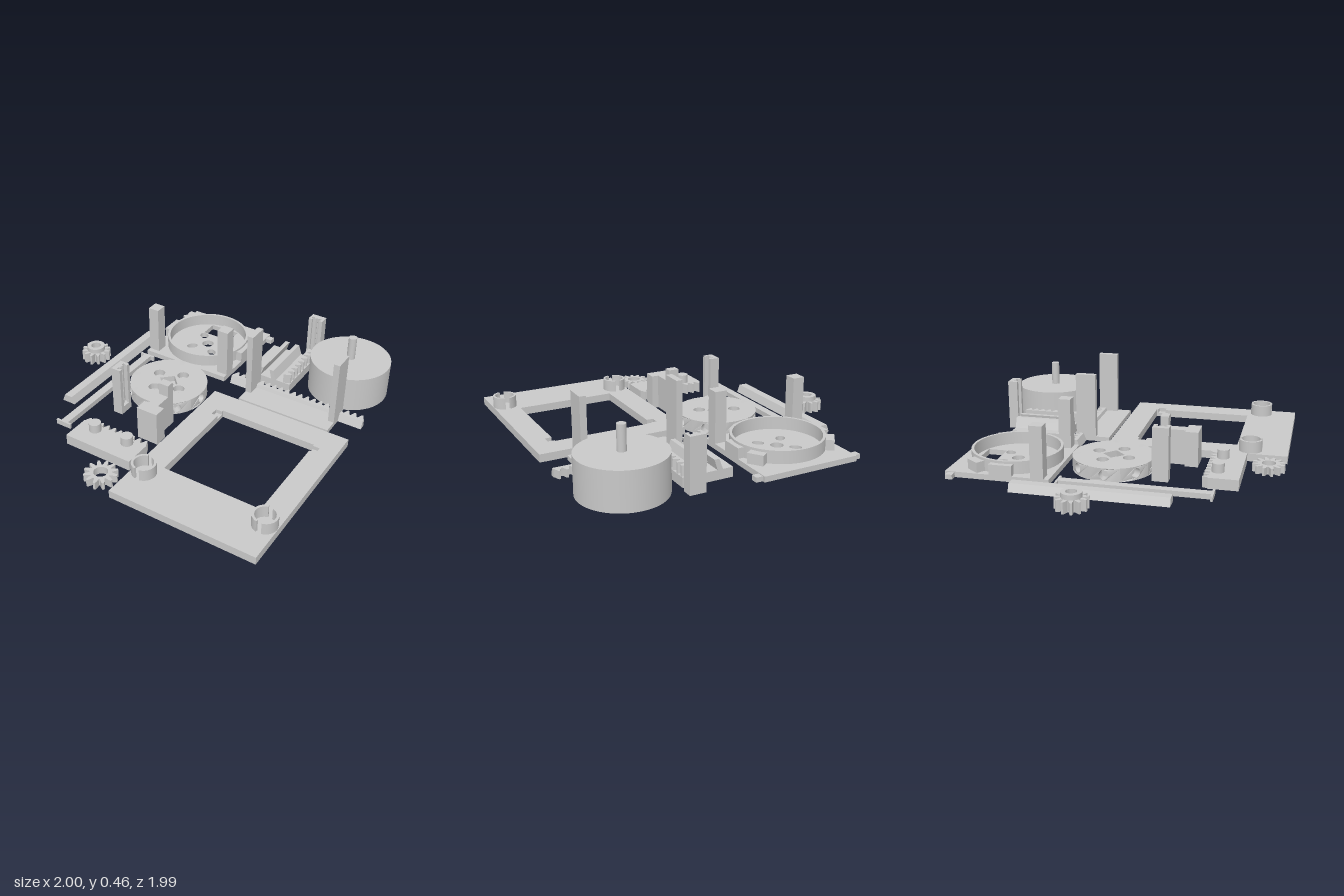
import * as THREE from 'three';
import { toCreasedNormals } from 'three/addons/utils/BufferGeometryUtils.js';

export function createModel() {
  const model = new THREE.Group();
  const grey = new THREE.MeshStandardMaterial({ color: 0xc8c8c8 });
  grey.name = 'plasticGrey';

  // ---- helpers: outlines are [x, z] points on the ground, raised from y0 to y1 ----
  const group = (name) => {
    const g = new THREE.Group();
    g.name = name;
    model.add(g);
    return g;
  };
  const add = (parent, name, geo) => {
    const mesh = new THREE.Mesh(geo, grey);
    mesh.name = name;
    parent.add(mesh);
    return mesh;
  };
  // always anticlockwise, so that outer and hole walls face the right way
  const vec = (pts) => {
    const v = pts.map(([x, z]) => new THREE.Vector2(x, -z));
    return THREE.ShapeUtils.isClockWise(v) ? v.reverse() : v;
  };
  const plate = (parent, name, outline, y0, y1, holes = []) => {
    const shape = new THREE.Shape(vec(outline));
    holes.forEach((h) => shape.holes.push(new THREE.Path(vec(h).reverse())));
    const geo = new THREE.ExtrudeGeometry(shape, { depth: y1 - y0, bevelEnabled: false });
    geo.rotateX(-Math.PI / 2).translate(0, y0, 0);
    return add(parent, name, toCreasedNormals(geo, 0.5));
  };
  const rect = (x0, x1, z0, z1) => [[x0, z0], [x1, z0], [x1, z1], [x0, z1]];
  const box = (parent, name, x0, x1, y0, y1, z0, z1) => {
    const geo = new THREE.BoxGeometry(x1 - x0, y1 - y0, z1 - z0);
    return add(parent, name, geo.translate((x0 + x1) / 2, (y0 + y1) / 2, (z0 + z1) / 2));
  };
  const arc = (cx, cz, r, a0, a1, n) => Array.from({ length: n + 1 }, (_, i) => {
    const a = a0 + ((a1 - a0) * i) / n;
    return [cx + r * Math.cos(a), cz + r * Math.sin(a)];
  });
  const circle = (cx, cz, r, n = 32) => arc(cx, cz, r, 0, Math.PI * 2, n).slice(0, n);
  const cylinder = (parent, name, x, z, r, y0, y1, n = 32) =>
    add(parent, name, new THREE.CylinderGeometry(r, r, y1 - y0, n).translate(x, (y0 + y1) / 2, z));
  // bar with cross-section in x, y running along z
  const barAlongZ = (parent, name, section, z0, z1) => {
    const shape = new THREE.Shape(section.map(([x, y]) => new THREE.Vector2(x, y)));
    const geo = new THREE.ExtrudeGeometry(shape, { depth: z1 - z0, bevelEnabled: false });
    return add(parent, name, geo.translate(0, 0, z0));
  };
  // tooth line from a to b; rise is added at every tooth tip
  const teeth = (a, b, count, rise) => {
    const pts = [];
    for (let i = 0; i < count; i++) {
      for (const [f, h] of [[0.1, 0], [0.24, 0.5], [0.38, 1], [0.62, 1], [0.76, 0.5], [0.9, 0]]) {
        pts.push([a + ((b - a) * (i + f)) / count, h * rise]);
      }
    }
    return pts;
  };

  // ---- square frame with corner notches and two split sockets ----
  const frame = group('openFrame');
  const frameEdge = rect(0.05, 1, -0.155, 0.995);
  plate(frame, 'frameBottom', frameEdge, 0, 0.025, [rect(0.205, 0.845, 0.003, 0.665)]);
  plate(frame, 'frameTop', frameEdge, 0.025, 0.05, [[
    [0.205, 0.003], [0.845, 0.003], [0.845, 0.015], [0.888, 0.015], [0.888, 0.068], [0.845, 0.068],
    [0.845, 0.665], [0.205, 0.665], [0.205, 0.068], [0.162, 0.068], [0.162, 0.015], [0.205, 0.015]]]);
  for (const x of [0.128, 0.922]) {
    for (const start of [-Math.PI / 2, Math.PI / 2]) {
      const a0 = start + 0.22, a1 = start + Math.PI - 0.22;
      plate(frame, 'splitSocket',
        [...arc(x, 0.758, 0.075, a0, a1, 16), ...arc(x, 0.758, 0.06, a1, a0, 16)], 0.05, 0.125);
    }
  }

  // ---- base plate with round tray, side ears, wall tabs and posts ----
  const base = group('trayBase');
  const cx = -0.309, cz = -0.645;
  const slot = (x, z, turn) => circle(0, 0, 1, 20).map(([u, v]) => {
    const p = u * 0.038, q = v * 0.028, c = Math.SQRT1_2;
    return [x + (p - q * turn) * c, z + (p * turn + q) * c];
  });
  const trayHoles = [circle(cx, cz, 0.04), rect(-0.413, -0.203, -0.882, -0.762)];
  for (const sx of [-1, 1]) {
    for (const sz of [-1, 1]) trayHoles.push(slot(cx + sx * 0.08, cz + 0.002 + sz * 0.081, sx * sz));
  }
  plate(base, 'basePlate', rect(-0.625, 0.007, -0.995, -0.342), 0, 0.035, trayHoles);
  plate(base, 'trayWall', circle(cx, cz, 0.285, 64), 0.035, 0.115, [circle(cx, cz, 0.268, 64)]);
  for (const s of [-1, 1]) {
    const span = (a, b) => [cx + s * a, cx + s * b].sort((p, q) => p - q);
    box(base, 'ear', ...span(0.316, 0.358), 0, 0.03, -0.975, -0.932);
    box(base, 'wallTab', ...span(0.275, 0.316), 0.035, 0.1, -0.715, -0.572);
    box(base, 'post', ...span(0.24, 0.316), 0, 0.36, -0.455, -0.375);
    const tab = add(base, 'angledTab', new THREE.BoxGeometry(0.065, 0.065, 0.1));
    tab.position.set(cx + s * 0.25, 0.067, -0.815);
    tab.rotation.y = s * 0.62;
  }

  // ---- motor ----
  const motor = group('motor');
  cylinder(motor, 'motorBody', 0.737, -0.732, 0.262, 0, 0.235, 64);
  cylinder(motor, 'motorShaft', 0.737, -0.732, 0.027, 0.235, 0.39);

  // ---- long rack with low plate and two tall posts ----
  const longRack = group('longRack');
  plate(longRack, 'rackTeeth', [...teeth(0.05, 1, 20, -0.035).map(([x, h]) => [x, -0.392 + h]),
    [1, -0.392], [1, -0.37], [0.05, -0.37], [0.05, -0.392]], 0, 0.05);
  const slope = new THREE.Shape(vec([[0.37, -0.05], [0.37, 0], [0.35, 0]]));
  const slopeGeo = new THREE.ExtrudeGeometry(slope, { depth: 0.95, bevelEnabled: false });
  add(longRack, 'rackSlope', slopeGeo.rotateY(Math.PI / 2).translate(0.05, 0, 0));
  box(longRack, 'rackPlate', 0.208, 0.843, 0, 0.03, -0.37, -0.193);
  for (const x of [0.206, 0.803]) box(longRack, 'tallPost', x, x + 0.04, 0, 0.455, -0.418, -0.285);

  // ---- guide block with leaning walls and side rack ----
  const guide = group('guideBlock');
  const z0 = -0.845, z1 = -0.467;
  box(guide, 'guideBase', 0.118, 0.435, 0, 0.06, z0, z1);
  barAlongZ(guide, 'leftGuide', [[0.183, 0.06], [0.218, 0.06], [0.238, 0.125], [0.208, 0.125]], z0, z1);
  barAlongZ(guide, 'rightGuide', [[0.298, 0.06], [0.333, 0.06], [0.311, 0.125], [0.283, 0.125]], z0, z1);
  plate(guide, 'sideRack', [[0.387, z0], ...teeth(z0, z1, 8, 0.033).map(([z, h]) => [0.4 + h, z]),
    [0.387, z1]], 0.06, 0.125);

  // ---- small rack with two pegs ----
  const smallRack = group('smallRack');
  plate(smallRack, 'smallRackPlate', [...teeth(-0.46, 0.012, 10, -0.035).map(([x, h]) => [x, 0.568 + h]),
    [0.012, 0.568], [0.012, 0.748], [-0.46, 0.748], [-0.46, 0.568]], 0, 0.068);
  for (const x of [-0.342, -0.102]) cylinder(smallRack, 'peg', x, 0.612, 0.038, 0.068, 0.125);

  // ---- pinion gears ----
  const gearOutline = (x, z, root, tip, n) => teeth(0, Math.PI * 2, n, tip - root)
    .map(([a, h]) => [x + (root + h) * Math.cos(a), z + (root + h) * Math.sin(a)]);
  const hubGear = group('hubGear');
  plate(hubGear, 'gearTeeth', gearOutline(-0.905, -0.117, 0.062, 0.098, 12), 0, 0.07,
    [circle(-0.905, -0.117, 0.033)]);
  plate(hubGear, 'gearHub', circle(-0.905, -0.117, 0.061), 0.07, 0.1, [circle(-0.905, -0.117, 0.033)]);
  plate(group('flatGear'), 'gearTeeth', gearOutline(-0.087, 0.89, 0.065, 0.102, 12), 0, 0.05,
    [circle(-0.087, 0.89, 0.043)]);

  // ---- turning disc with counterbored holes, square socket and bored rim ----
  const disc = group('turningDisc');
  const dx = -0.242, dz = -0.045, core = 0.205;
  const spots = [[-0.347, -0.09], [-0.197, -0.15], [-0.137, -0.004], [-0.285, 0.06]];
  plate(disc, 'discLower', circle(dx, dz, core, 64), 0, 0.045,
    [circle(dx, dz, 0.037), ...spots.map(([x, z]) => circle(x, z, 0.021))]);
  plate(disc, 'discUpper', circle(dx, dz, core, 64), 0.045, 0.085,
    [circle(dx, dz, 0.069, 4), ...spots.map(([x, z]) => circle(x, z, 0.038))]);
  for (let i = 0; i < 8; i++) {
    // flat strip with one bore, wrapped round an eighth of the rim
    const edge = (y) => Array.from({ length: 9 }, (_, k) => new THREE.Vector2(((k - 4) * Math.PI) / 32, y));
    const strip = new THREE.Shape([...edge(0), ...edge(0.085).reverse()]);
    strip.holes.push(new THREE.Path(circle(0, 0, 0.03, 20)
      .map(([u, v]) => new THREE.Vector2(u / 0.255, 0.045 + v)).reverse()));
    const geo = new THREE.ExtrudeGeometry(strip, { depth: 0.05, bevelEnabled: false });
    const p = geo.attributes.position;
    for (let k = 0; k < p.count; k++) {
      const a = p.getX(k) + (i * Math.PI) / 4, r = core + p.getZ(k);
      p.setXYZ(k, dx + r * Math.sin(a), p.getY(k), dz + r * Math.cos(a));
    }
    add(disc, 'boredRim', toCreasedNormals(geo, 0.5));
  }

  // ---- dovetail bar and flanged rod ----
  barAlongZ(group('dovetailBar'), 'barBody',
    [[-0.775, 0], [-0.68, 0], [-0.7, 0.05], [-0.755, 0.05]], -0.54, 0.407);
  const rod = group('flangedRod');
  box(rod, 'rodBody', -0.615, -0.563, 0, 0.033, -0.29, 0.612);
  for (const z of [-0.302, 0.61]) box(rod, 'rodFlange', -0.645, -0.538, 0, 0.033, z, z + 0.014);

  // ---- stepped T block ----
  const tee = group('steppedBlock');
  box(tee, 'blockHead', -0.132, 0.012, 0, 0.225, 0.378, 0.46);
  box(tee, 'blockStem', -0.102, -0.032, 0, 0.225, 0.268, 0.378);
  box(tee, 'blockTop', -0.102, -0.032, 0, 0.305, 0.216, 0.268);

  // ---- two upright channels with ridged grooves on solid feet ----
  const channel = (name, x, z, turn) => {
    const w = 0.05, d = 0.0325;
    const g = group(name);
    plate(g, 'channelBody', [[-w, -d], [w, -d], [w, d], [0.026, d], [0.026, 0.018],
      [0.033, 0.018], [0.033, 0], [0.018, 0], [0.013, 0.012], [0.006, 0.012], [0, 0], [-0.006, 0.012],
      [-0.013, 0.012], [-0.018, 0], [-0.033, 0], [-0.033, 0.018], [-0.026, 0.018], [-0.026, d], [-w, d]], 0.05, 0.335);
    box(g, 'channelFoot', -w, w, 0, 0.05, -d, d);
    g.position.set(x, 0, z);
    g.rotation.y = turn;
  };
  channel('rearChannel', 0.398, -0.919, 0);
  channel('frontChannel', -0.385, 0.278, Math.PI / 2);

  return model;
}
